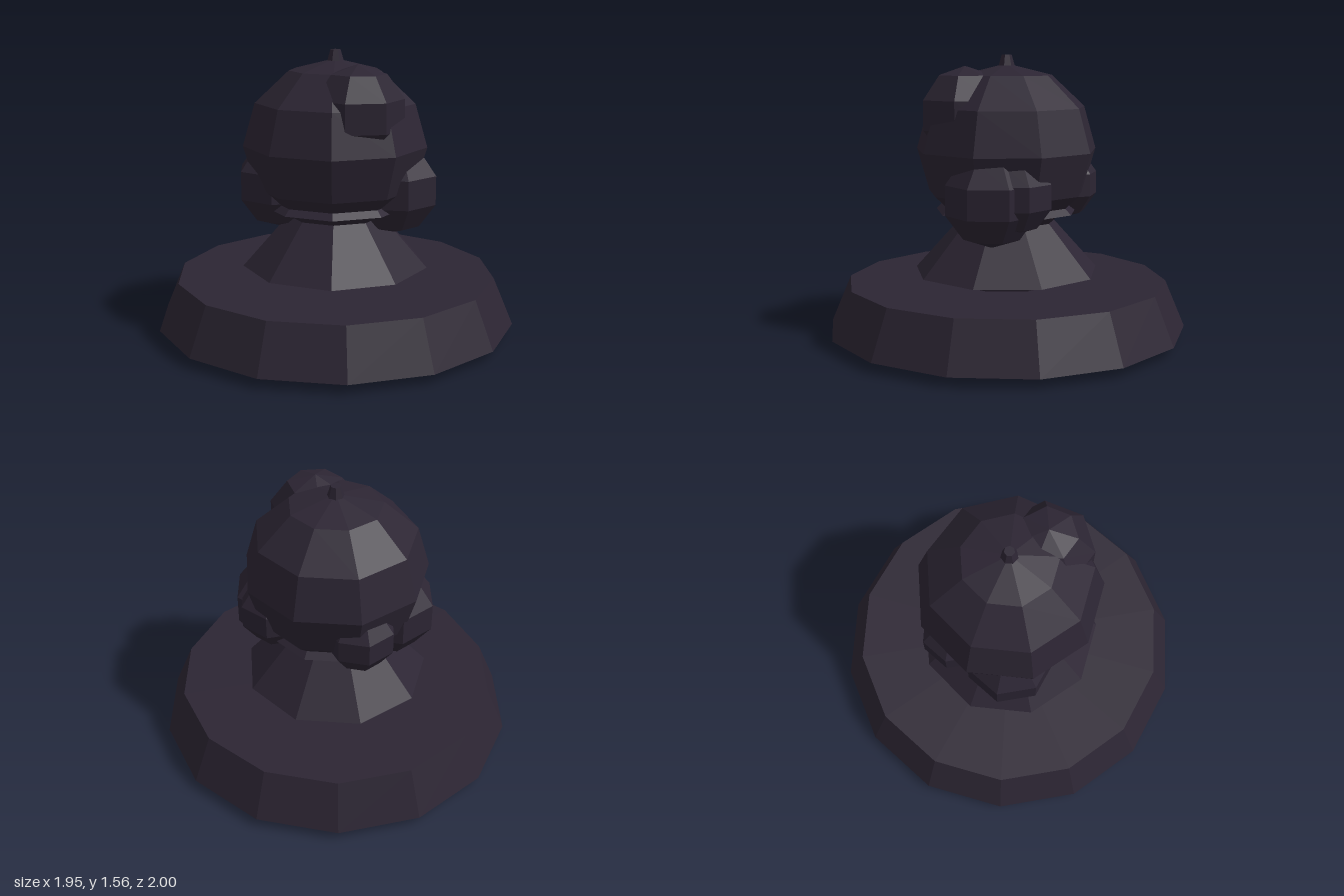
import * as THREE from 'three';

export function createModel() {
  const model = new THREE.Group();
  const material = new THREE.MeshStandardMaterial({ color: 0x2c2533, flatShading: true });

  function add(name, geometry, x, y, z, turn = 0) {
    const mesh = new THREE.Mesh(geometry, material);
    mesh.name = name;
    mesh.position.set(x, y, z);
    mesh.rotation.y = turn;
    model.add(mesh);
    return mesh;
  }

  // Frustum standing on its lower end
  function taper(name, top, bottom, height, y, sides, turn = 0) {
    const geometry = new THREE.CylinderGeometry(top, bottom, height, sides);
    return add(name, geometry, 0, y + height / 2, 0, turn);
  }

  // Low-poly ball; a turn of 0 puts a corner towards -x
  function ball(name, radius, sides, rows, x, y, z, turn, squash = 1) {
    const geometry = new THREE.SphereGeometry(radius, sides, rows);
    geometry.scale(1, squash, 1);
    return add(name, geometry, x, y, z, turn);
  }

  // Wide base and the faceted body that pokes out beneath it
  taper('base', 0.89, 1, 0.26, 0.05, 14);
  ball('body', 0.35, 9, 6, 0, 0.36, 0, -Math.PI / 2, 1.03);

  // Two cone collars, a corner to the back
  taper('lowerCollar', 0, 0.52, 0.58, 0.36, 9, Math.PI);
  taper('upperCollar', 0, 0.4, 0.4, 0.7, 9, Math.PI);

  // Head with a small knob on top
  ball('head', 0.51, 9, 6, 0, 1.04, 0, -Math.PI / 2, 0.925);
  taper('topKnob', 0.028, 0.055, 0.09, 1.47, 7);

  // Round lumps: name, radius, x, y, z, turn
  const lumps = [
    ['leftLump', 0.26, 0.31, 0.805, -0.085, Math.PI],
    ['rightLump', 0.255, -0.295, 0.82, 0.085, 0],
    ['browLump', 0.26, 0.19, 1.24, 0.15, Math.PI / 2 + 0.1],
    ['backLeftLump', 0.21, 0.27, 0.83, -0.2, Math.PI],
    ['backRightLump', 0.2, -0.25, 0.84, -0.23, 0],
  ];
  for (const [name, radius, x, y, z, turn] of lumps) ball(name, radius, 7, 5, x, y, z, turn);

  return model;
}
